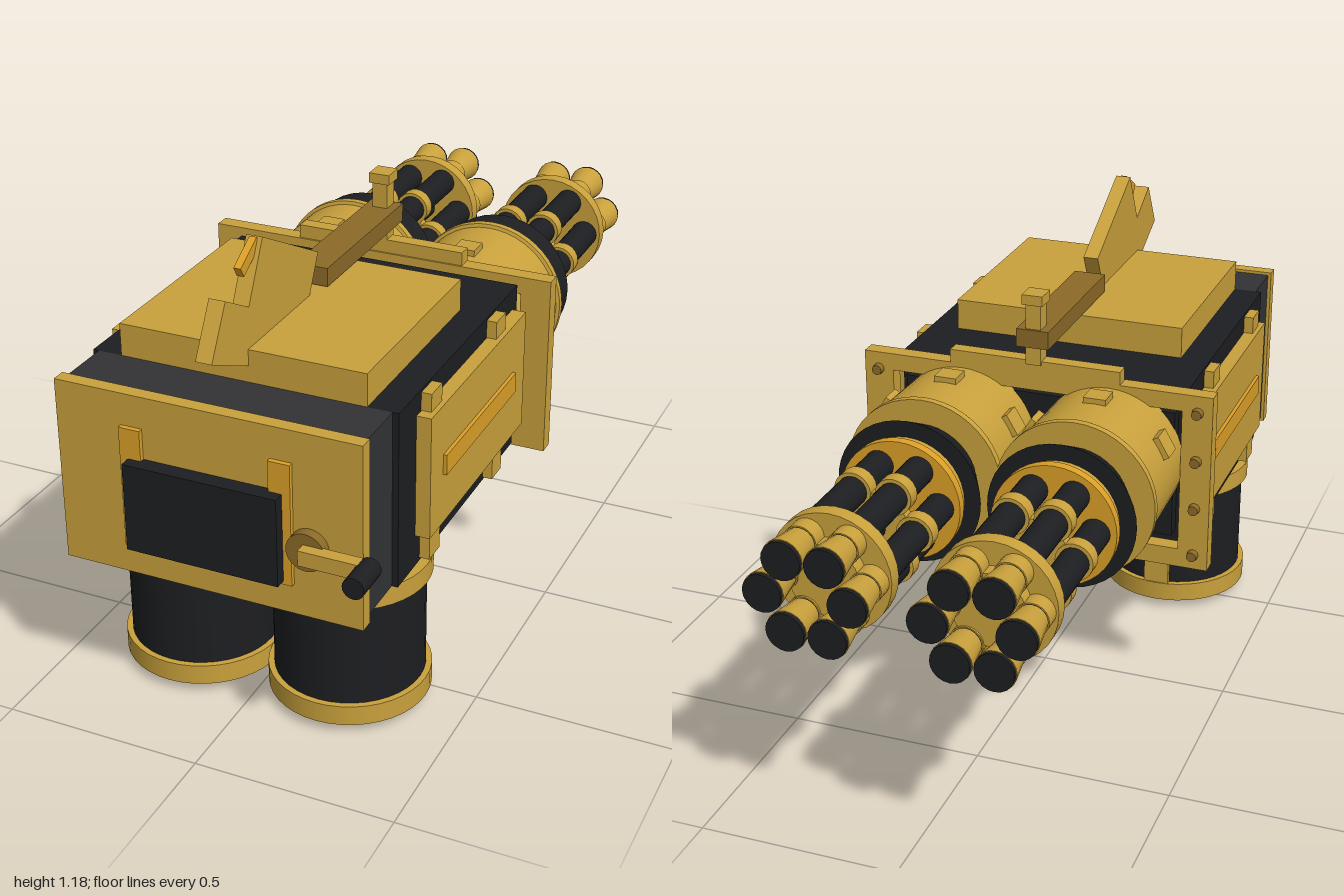
import * as THREE from 'three';

const paint = (c) => new THREE.MeshStandardMaterial({ color: c });
const YELLOW = paint(0xc9a13c), ORANGE = paint(0xdca028), BRONZE = paint(0x8c6a28);
const BLACK = paint(0x1d1e21), GREY = paint(0x323336);

function add(parent, name, geo, mat, x = 0, y = 0, z = 0) {
  const m = new THREE.Mesh(geo, mat);
  m.name = name;
  m.position.set(x, y, z);
  parent.add(m);
  return m;
}

// Box given by its limits on each axis
function box(parent, name, mat, [x0, x1], [y0, y1], [z0, z1]) {
  return add(parent, name, new THREE.BoxGeometry(x1 - x0, y1 - y0, z1 - z0), mat,
    (x0 + x1) / 2, (y0 + y1) / 2, (z0 + z1) / 2);
}

// Cylinder along z from z0 (radius r0) to z1 (radius r1)
function rod(parent, name, mat, x, y, z0, z1, r0, r1 = r0, seg = 32) {
  const g = new THREE.CylinderGeometry(r1, r0, Math.abs(z1 - z0), seg);
  g.rotateX(z1 > z0 ? Math.PI / 2 : -Math.PI / 2);
  return add(parent, name, g, mat, x, y, (z0 + z1) / 2);
}

// Upright cylinder from y0 to y1
function post(parent, name, mat, y0, y1, r) {
  return add(parent, name, new THREE.CylinderGeometry(r, r, y1 - y0, 40), mat, 0, (y0 + y1) / 2, 0);
}

function makeBody() {
  const g = new THREE.Group();
  g.name = 'body';
  box(g, 'housing', BLACK, [-0.383, 0.383], [0.417, 0.862], [-0.02, 0.715]);
  box(g, 'frontHousing', GREY, [-0.368, 0.368], [0.417, 0.862], [0.715, 0.855]);
  box(g, 'innerBlock', BLACK, [-0.36, 0.36], [0.47, 0.81], [-0.055, -0.02]);
  box(g, 'facePlate', YELLOW, [-0.377, 0.377], [0.408, 0.87], [0.855, 0.89]);
  box(g, 'topPlate', YELLOW, [-0.308, 0.308], [0.86, 0.943], [0.172, 0.715]);
  box(g, 'facePanel', BLACK, [-0.19, 0.19], [0.495, 0.715], [0.89, 0.93]);
  for (const s of [-1, 1]) {
    add(g, 'faceStrip', new THREE.BoxGeometry(0.053, 0.305, 0.014), ORANGE, s * 0.184, 0.638, 0.895);
    // side covers with slot rail and clamps
    add(g, 'sideCover', new THREE.BoxGeometry(0.036, 0.31, 0.605), YELLOW, s * 0.402, 0.655, 0.317);
    add(g, 'sideRail', new THREE.BoxGeometry(0.02, 0.052, 0.45), ORANGE, s * 0.419, 0.656, 0.32);
    for (const z of [0.56, 0.157])
      add(g, 'sideClamp', new THREE.BoxGeometry(0.03, 0.43, 0.062), YELLOW, s * 0.393, 0.64, z);
  }
  return g;
}

function makeFlange() {
  const g = new THREE.Group();
  g.name = 'flange';
  const s = new THREE.Shape([[-0.463, 0.4], [0.463, 0.4], [0.463, 0.875], [-0.463, 0.875]]
    .map((p) => new THREE.Vector2(...p)));
  s.holes.push(new THREE.Path([[-0.385, 0.45], [-0.385, 0.83], [0.385, 0.83], [0.385, 0.45]]
    .map((p) => new THREE.Vector2(...p))));
  add(g, 'flangeFrame', new THREE.ExtrudeGeometry(s, { depth: 0.042, bevelEnabled: false }), YELLOW, 0, 0, -0.082);
  for (const sx of [-1, 1])
    for (const y of [0.44, 0.57, 0.7, 0.83]) rod(g, 'flangeBolt', BRONZE, sx * 0.425, y, -0.08, -0.098, 0.015, 0.013, 12);
  box(g, 'flangeTopBar', YELLOW, [-0.225, 0.225], [0.872, 0.91], [-0.083, -0.045]);
  return g;
}

function makeGun(x) {
  const g = new THREE.Group();
  g.name = 'rotaryGun';
  g.position.set(x, 0.675, 0);
  // stepped drum shell
  const profile = [[0, -0.05], [0.188, -0.05], [0.192, -0.2], [0.194, -0.315], [0.203, -0.318], [0.203, -0.337], [0, -0.337]];
  const pts = [];
  profile.forEach((p, i) => {
    pts.push(new THREE.Vector2(p[0], -p[1]));
    if (i > 0 && i < profile.length - 1) pts.push(new THREE.Vector2(p[0], -p[1] + 0.0001));
  });
  const drum = new THREE.LatheGeometry(pts, 48);
  drum.rotateX(-Math.PI / 2);
  add(g, 'drum', drum, YELLOW);
  for (const deg of [30, 90, 150, 270]) {
    const a = deg * Math.PI / 180;
    const b = add(g, 'drumLug', new THREE.BoxGeometry(0.03, 0.058, 0.058), YELLOW, Math.cos(a) * 0.19, Math.sin(a) * 0.19, -0.163);
    b.rotation.z = a;
  }
  rod(g, 'flaredCollar', BLACK, 0, 0, -0.335, -0.43, 0.14, 0.187, 40);
  rod(g, 'collarRing', YELLOW, 0, 0, -0.43, -0.46, 0.145, 0.145, 40);
  rod(g, 'collarRim', ORANGE, 0, 0, -0.458, -0.482, 0.155, 0.155, 40);
  rod(g, 'spindle', BLACK, 0, 0, -0.48, -0.86, 0.028, 0.028, 16);
  // barrel cluster
  for (let i = 0; i < 6; i++) {
    const a = i * Math.PI / 3, bx = Math.cos(a) * 0.102, by = Math.sin(a) * 0.102;
    rod(g, 'barrel', BLACK, bx, by, -0.48, -0.92, 0.037, 0.037, 20);
    rod(g, 'barrelClamp', YELLOW, bx, by, -0.597, -0.633, 0.046, 0.046, 20);
    rod(g, 'barrelSleeve', YELLOW, bx, by, -0.86, -0.905, 0.04, 0.04, 20);
    rod(g, 'muzzle', YELLOW, bx, by, -0.9, -0.99, 0.036, 0.049, 20);
    rod(g, 'muzzleTip', BLACK, bx, by, -0.988, -1, 0.047, 0.047, 20);
  }
  rod(g, 'clampHub', YELLOW, 0, 0, -0.6, -0.63, 0.09, 0.09, 24);
  rod(g, 'muzzleYoke', YELLOW, 0, 0, -0.825, -0.863, 0.148, 0.148, 32);
  rod(g, 'yokeHub', YELLOW, 0, 0, -0.86, -0.9, 0.09, 0.09, 24);
  return g;
}

function makeCanister(x) {
  const g = new THREE.Group();
  g.name = 'ammoCanister';
  g.position.set(x, 0, 0.573);
  post(g, 'canisterFoot', ORANGE, 0.003, 0.04, 0.073);
  post(g, 'canisterBase', YELLOW, 0.028, 0.08, 0.199);
  post(g, 'canisterBody', BLACK, 0.07, 0.36, 0.184);
  post(g, 'canisterLid', YELLOW, 0.35, 0.4, 0.199);
  post(g, 'canisterNeck', BLACK, 0.395, 0.42, 0.073);
  box(g, 'canisterStrip', YELLOW, [-0.035, 0.035], [0.075, 0.355], [-0.195, -0.17]);
  rod(g, 'stripBolt', BRONZE, 0, 0.215, -0.19, -0.212, 0.015, 0.015, 12);
  return g;
}

function makeCrank() {
  const g = new THREE.Group();
  g.name = 'crank';
  rod(g, 'crankHub', BRONZE, 0.25, 0.59, 0.885, 0.915, 0.047);
  box(g, 'crankArm', YELLOW, [0.245, 0.405], [0.572, 0.61], [0.91, 0.942]);
  rod(g, 'crankKnob', BLACK, 0.403, 0.59, 0.91, 1, 0.026, 0.026, 20);
  return g;
}

function makeCarryHandle() {
  const g = new THREE.Group();
  g.name = 'topHandle';
  // notched grip plate, drawn in the z-y plane
  const s = new THREE.Shape([[0.88, 0.98], [0.81, 1.1], [0.705, 1.042], [0.632, 1.18], [0.355, 1.035], [0.42, 0.91], [0.69, 0.89]]
    .map(([z, y]) => new THREE.Vector2(-z, y)));
  const geo = new THREE.ExtrudeGeometry(s, { depth: 0.04, bevelEnabled: false });
  geo.translate(0, 0, -0.02);
  geo.rotateY(Math.PI / 2);
  add(g, 'gripPlate', geo, YELLOW);
  const t = add(g, 'trigger', new THREE.BoxGeometry(0.018, 0.028, 0.09), ORANGE, 0, 1.145, 0.67);
  t.rotation.x = -Math.PI / 6 + Math.PI / 3;
  box(g, 'handleArm', BRONZE, [-0.042, 0.042], [0.948, 0.995], [-0.095, 0.352]);
  box(g, 'handlePost', YELLOW, [-0.02, 0.02], [0.9, 1.07], [-0.088, -0.045]);
  box(g, 'postCap', YELLOW, [-0.027, 0.027], [1.06, 1.086], [-0.096, -0.04]);
  return g;
}

export function createModel() {
  const model = new THREE.Group();
  model.name = 'twinRotaryGun';
  model.add(makeBody(), makeFlange(), makeCrank(), makeCarryHandle());
  for (const s of [-1, 1]) model.add(makeGun(s * 0.195), makeCanister(s * 0.198));
  return model;
}
